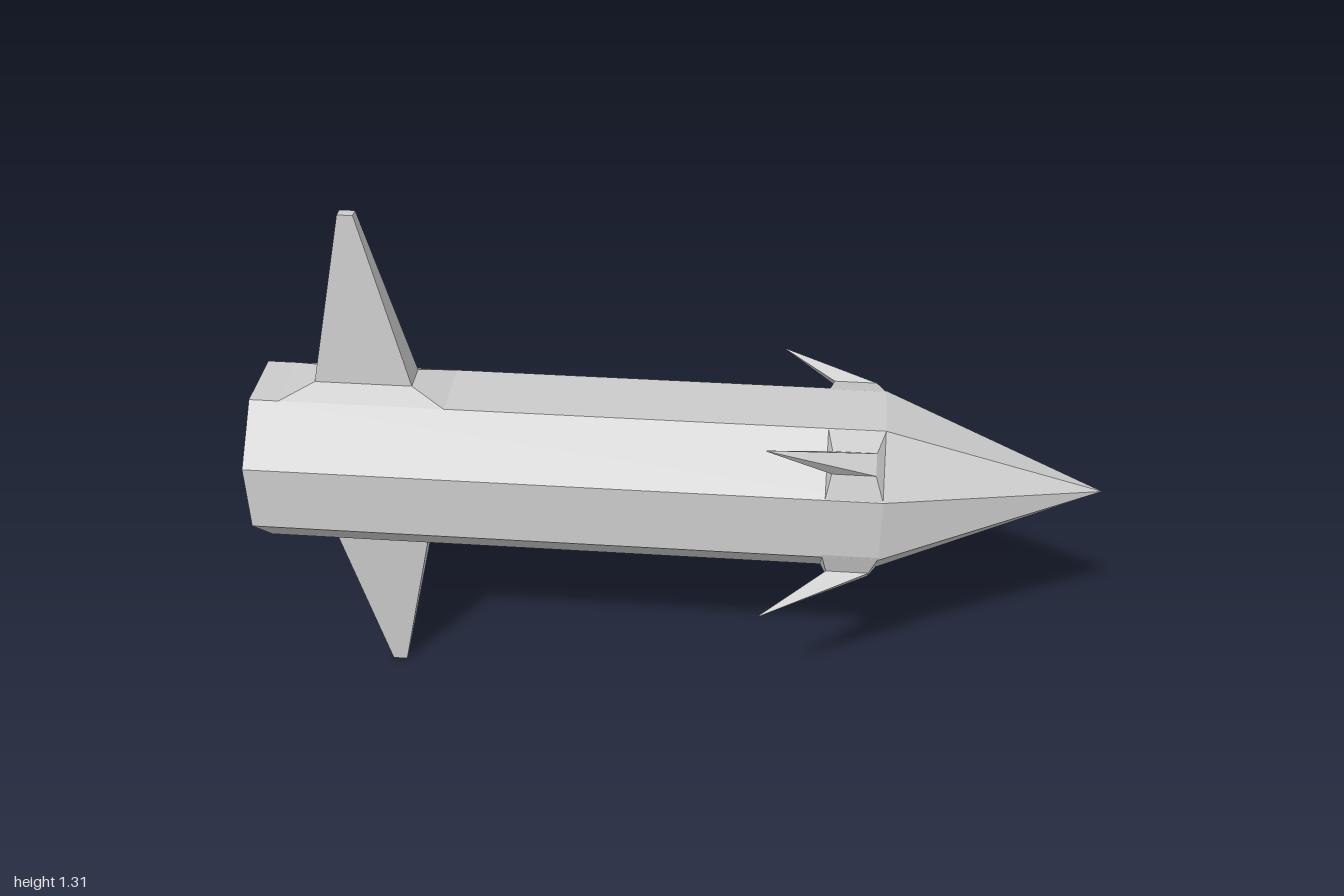
import * as THREE from 'three';

const CY = 0.657, CZ = -0.004, APOTHEM = 0.2;
const material = new THREE.MeshStandardMaterial({ color: 0xcccccc, flatShading: true });

// Four-sided loft rising along y; each ring is [y, centre x, half width, half depth]
function loft(rings) {
  const corners = [[1, 1], [1, -1], [-1, -1], [-1, 1]];
  const pos = [], index = [];
  rings.forEach(([y, cx, w, d], r) => {
    corners.forEach(([sx, sz], i) => {
      pos.push(cx + sx * w, y, sz * d);
      if (r === 0) return;
      const j = (i + 1) % 4, a = (r - 1) * 4, b = r * 4;
      index.push(a + i, a + j, b + j, a + i, b + j, b + i);
    });
  });
  const t = (rings.length - 1) * 4;
  index.push(t, t + 1, t + 2, t, t + 2, t + 3);
  const indexed = new THREE.BufferGeometry();
  indexed.setAttribute('position', new THREE.Float32BufferAttribute(pos, 3));
  indexed.setIndex(index);
  const geometry = indexed.toNonIndexed();
  geometry.computeVertexNormals();
  return geometry;
}

export function createModel() {
  const model = new THREE.Group();
  const add = (name, geometry) => {
    const mesh = new THREE.Mesh(geometry, material);
    mesh.name = name;
    mesh.position.set(0, CY, CZ);
    model.add(mesh);
    return mesh;
  };

  // Octagonal shaft and pointed nose, both lying along x
  const radius = APOTHEM / Math.cos(Math.PI / 8);
  const lay = (geometry, x) => geometry.rotateZ(-Math.PI / 2).translate(x, 0, 0);
  add('shaft', lay(new THREE.CylinderGeometry(radius, radius, 1.48, 8, 1, false, Math.PI / 8), -0.26));
  add('nose', lay(new THREE.ConeGeometry(radius, 0.52, 8, 1, true, Math.PI / 8), 0.74));

  // Tall tapered fins above and below, each on a flared foot
  const fin = loft([
    [APOTHEM, -0.735, 0.195, 0.083],
    [0.228, -0.737, 0.115, 0.036],
    [CY, -0.738, 0.018, 0.012],
  ]);
  add('upperFin', fin);
  add('lowerFin', fin).rotation.x = Math.PI;

  // Swept-back barbs on the four diagonal facets: [name, angle, tip height, tip x]
  const barbs = [
    ['upperLeftBarb', 45, 0.345, 0.215],
    ['lowerLeftBarb', 133, 0.34, 0.21],
    ['lowerRightBarb', 227, 0.33, 0.225],
    ['upperRightBarb', -43, 0.305, 0.24],
  ];
  for (const [name, angle, tipY, tipX] of barbs) {
    const barb = add(name, loft([
      [APOTHEM - 0.001, 0.414, 0.066, 0.083],
      [0.228, 0.41, 0.05, 0.026],
      [tipY, tipX, 0.002, 0.001],
    ]));
    barb.rotation.x = THREE.MathUtils.degToRad(angle);
  }
  return model;
}
